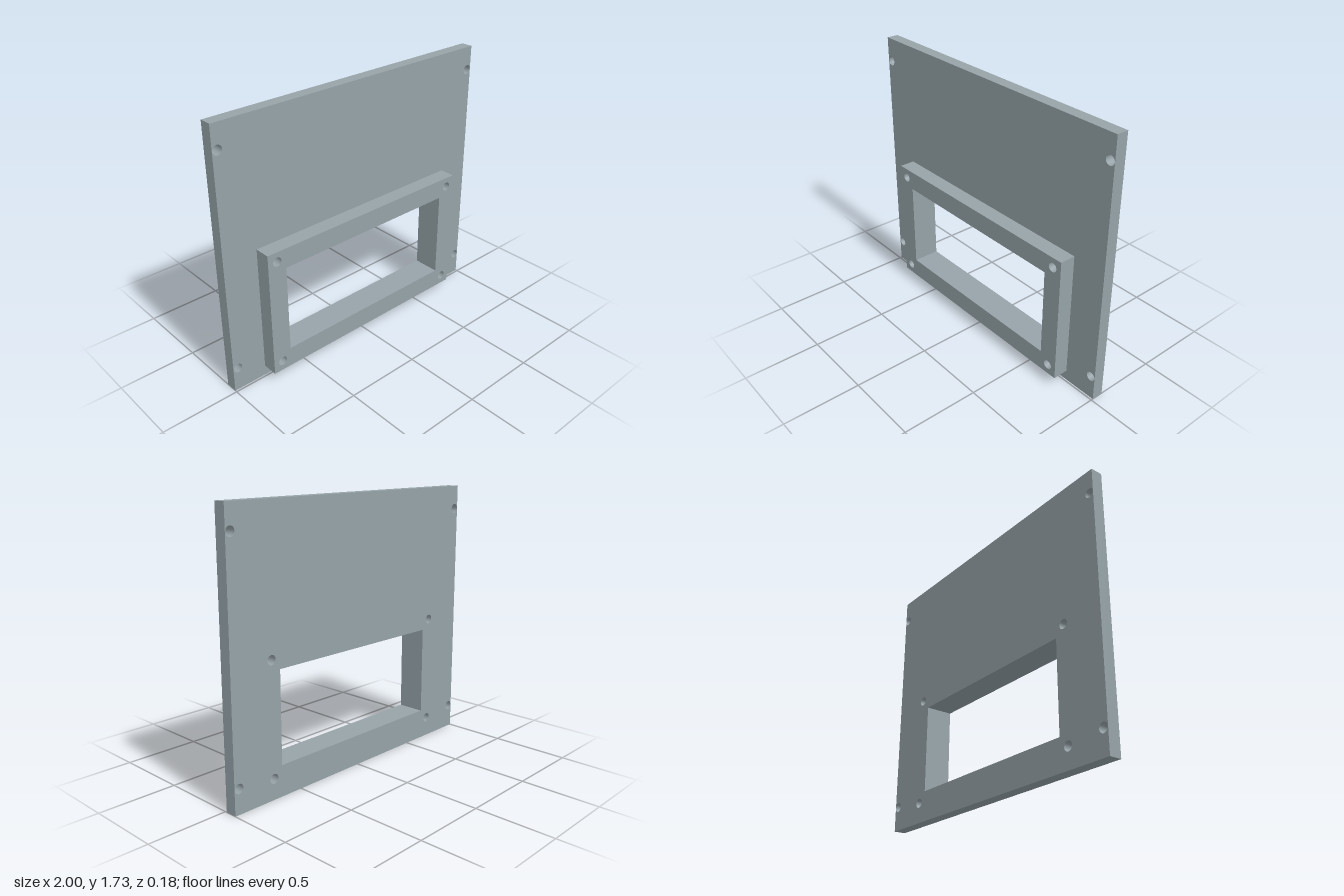
import * as THREE from 'three';

const material = new THREE.MeshStandardMaterial({ color: 0x96a3a8 });

// Counter-clockwise rectangle outline
function rect(PathType, x0, y0, x1, y1) {
  return new PathType([
    new THREE.Vector2(x0, y0), new THREE.Vector2(x1, y0),
    new THREE.Vector2(x1, y1), new THREE.Vector2(x0, y1),
  ]);
}

// Mirrored pairs of round screw holes at each height
function screwHoles(x, heights) {
  return heights.flatMap((y) => [-x, x].map((cx) =>
    new THREE.Path().absarc(cx, y, 0.03, 0, Math.PI * 2, true)));
}

// Flat panel with holes, extruded from z0 to z1
function panel(name, outline, holes, z0, z1) {
  outline.holes.push(...holes);
  const geometry = new THREE.ExtrudeGeometry(outline, {
    depth: z1 - z0, bevelEnabled: false, curveSegments: 32,
  });
  geometry.translate(0, 0, z0);
  const mesh = new THREE.Mesh(geometry, material);
  mesh.name = name;
  return mesh;
}

export function createModel() {
  const group = new THREE.Group();
  group.name = 'windowPanel';

  const joint = -0.013;
  const windowHole = () => rect(THREE.Path, -0.648, 0.197, 0.648, 0.777);
  const frameHoles = () => screwHoles(0.71, [0.131, 0.842]);

  // Back plate with corner mounting holes; window and frame screws pass through
  group.add(panel('backPlate', rect(THREE.Shape, -1, 0, 1, 1.73),
    [windowHole(), ...frameHoles(), ...screwHoles(0.968, [0.156, 1.577])],
    -0.09, joint));

  // Raised frame around the window
  group.add(panel('windowFrame', rect(THREE.Shape, -0.774, 0.067, 0.774, 0.906),
    [windowHole(), ...frameHoles()], joint, 0.09));

  return group;
}
